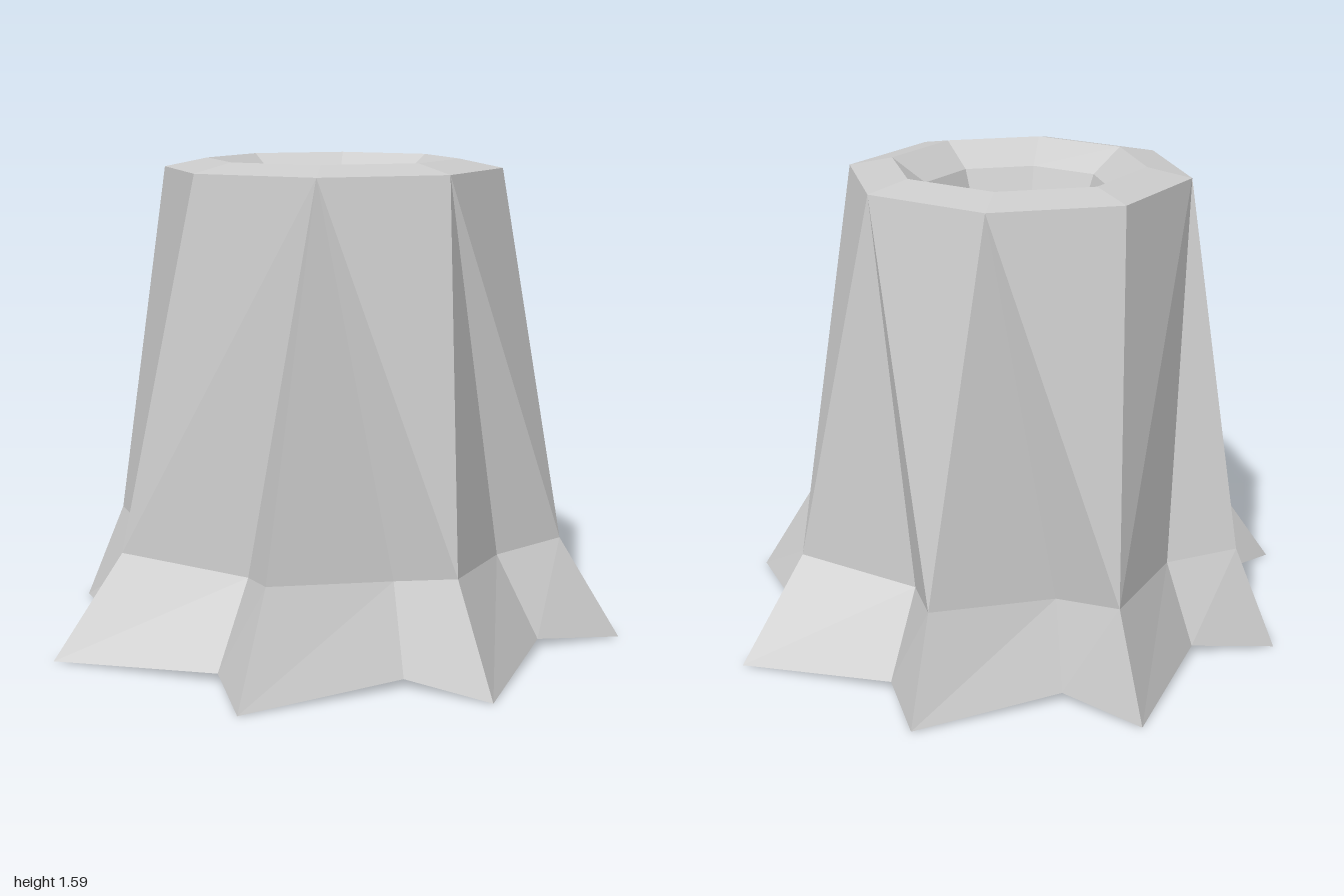
import * as THREE from 'three';

const SIDES = 8;
// x, z pairs, starting at the front and running towards +x
const ROOT_TIPS = [[-0.18, 0.93], [0.58, 0.77], [1, 0.12], [0.76, -0.55], [0.16, -0.94], [-0.53, -0.79], [-1, -0.25], [-0.83, 0.51]];
const ROOT_VALLEYS = [[0.29, 0.67], [0.7, 0.25], [0.68, -0.3], [0.27, -0.67], [-0.27, -0.67], [-0.69, -0.3], [-0.71, 0.25], [-0.3, 0.66]];
const RIDGES = [[-0.15, 0.74], [0.44, 0.62], [0.76, 0.12], [0.64, -0.47], [0.14, -0.79], [-0.45, -0.67], [-0.78, -0.17], [-0.65, 0.42]];

const atHeight = (pairs, y) => pairs.map(([x, z]) => [x, y, z]);

// Regular ring of corners
function ring(radius, y, cx, cz, offset = 0) {
  return Array.from({ length: SIDES }, (_, k) => {
    const a = ((k + offset) / SIDES) * Math.PI * 2;
    return [cx + radius * Math.sin(a), y, cz + radius * Math.cos(a)];
  });
}

// Alternate the corners of two rings
const interleave = (a, b) => a.flatMap((p, k) => [p, b[k]]);

// Strip of faces from a lower ring to an upper ring
function band(lower, upper) {
  return lower.flatMap((p, k) => {
    const n = (k + 1) % lower.length;
    return [p, lower[n], upper[n], p, upper[n], upper[k]];
  });
}

// Faces from a ring to one point
function fan(loop, tip, down = false) {
  return loop.flatMap((p, k) => {
    const next = loop[(k + 1) % loop.length];
    return down ? [next, p, tip] : [p, next, tip];
  });
}

function part(name, corners) {
  const geometry = new THREE.BufferGeometry();
  geometry.setAttribute('position', new THREE.Float32BufferAttribute(corners.flat(), 3));
  geometry.computeVertexNormals();
  const material = new THREE.MeshStandardMaterial({ color: 0xcccccc, flatShading: true });
  const mesh = new THREE.Mesh(geometry, material);
  mesh.name = name;
  return mesh;
}

export function createModel() {
  const group = new THREE.Group();
  group.name = 'hollowStump';

  const tips = atHeight(ROOT_TIPS, 0);
  const valleys = atHeight(ROOT_VALLEYS, 0.03);
  const ridges = atHeight(RIDGES, 0.34);
  const grooves = ring(0.6, 0.305, -0.01, -0.01, 0.5);
  const shoulder = ring(0.565, 1.56, -0.01, -0.025);
  const rim = ring(0.42, 1.59, -0.01, -0.025);
  const lip = ring(0.31, 1.51, -0.01, -0.025);

  const base = interleave(tips, valleys);

  // Flared roots and their underside
  group.add(part('roots', band(base, interleave(ridges, grooves))));
  group.add(part('underside', fan(base, [0, 0, 0], true)));

  // Trunk: each sector joins two shoulder corners to ridge, groove, ridge
  const trunk = [];
  for (let k = 0; k < SIDES; k++) {
    const n = (k + 1) % SIDES;
    const mirrored = k >= 4 && k <= 6;
    const top = shoulder[mirrored ? n : k];
    trunk.push(top, ridges[k], grooves[k], top, grooves[k], ridges[n]);
    trunk.push(shoulder[k], ridges[mirrored ? k : n], shoulder[n]);
  }
  group.add(part('trunk', trunk));

  // Top edge and the tapering hollow
  group.add(part('rim', band(shoulder, rim)));
  group.add(part('innerLip', band(rim, lip)));
  group.add(part('hollow', fan(lip, [-0.01, 0.7, -0.025])));

  return group;
}
